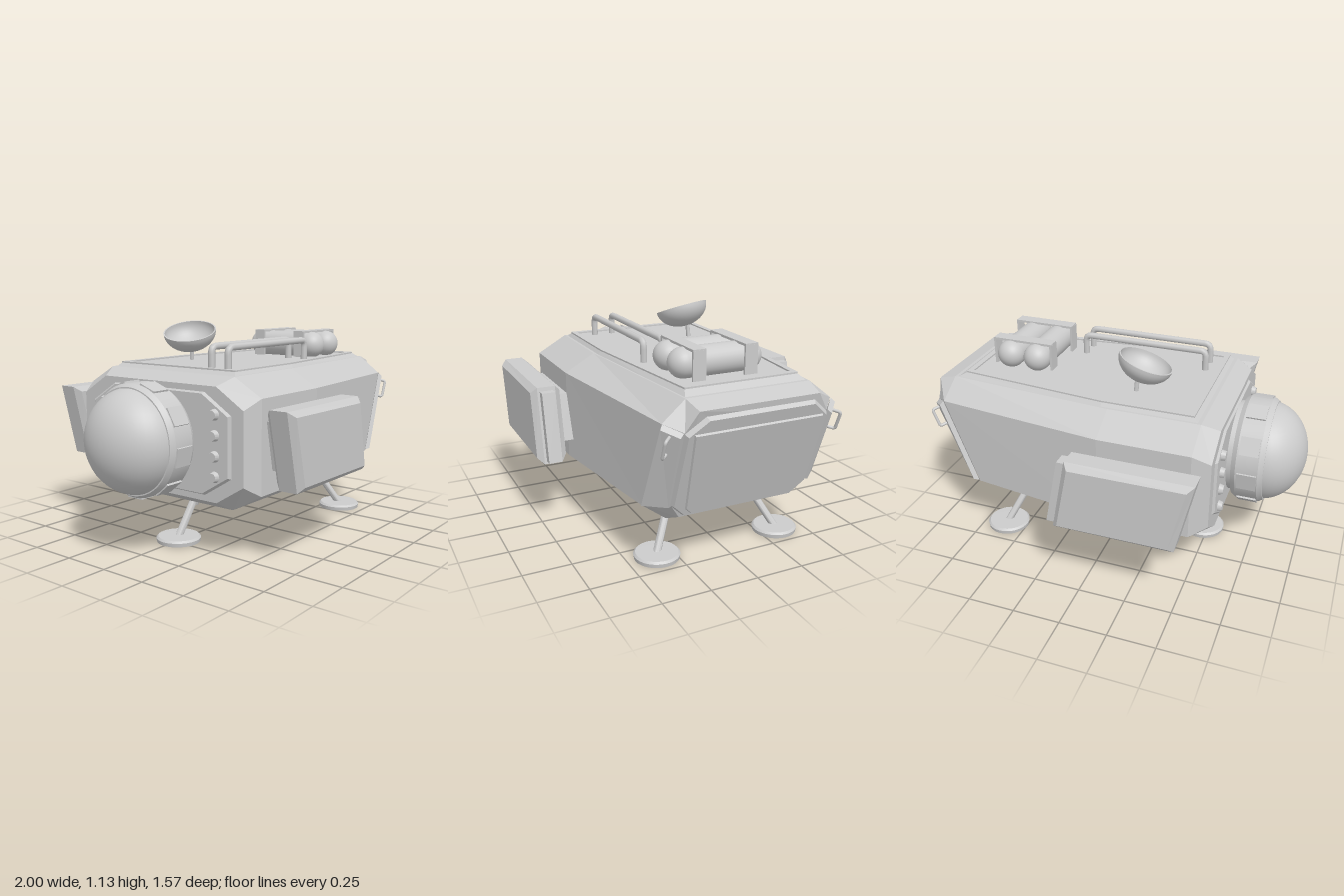
import * as THREE from 'three';
import { toCreasedNormals } from 'three/addons/utils/BufferGeometryUtils.js';

const V = (x, y, z) => new THREE.Vector3(x, y, z);
const smooth = new THREE.MeshStandardMaterial({ color: 0xcccccc, side: THREE.DoubleSide });
const flat = new THREE.MeshStandardMaterial({ color: 0xcccccc, flatShading: true, side: THREE.DoubleSide });

export function createModel() {
  const root = new THREE.Group();
  const add = (name, geo, mat = flat, pos = [0, 0, 0]) => {
    const m = new THREE.Mesh(geo, mat);
    m.name = name;
    m.position.set(...pos);
    root.add(m);
    return m;
  };
  const fromTriangles = (pts) => {
    const g = new THREE.BufferGeometry().setFromPoints(pts);
    g.computeVertexNormals();
    return g;
  };
  // joins rings of equal length and closes both ends
  const loft = (rings) => {
    const t = [], n = rings[0].length;
    for (let r = 0; r + 1 < rings.length; r++) {
      for (let i = 0; i < n; i++) {
        const j = (i + 1) % n, A = rings[r], B = rings[r + 1];
        t.push(A[i], A[j], B[j], A[i], B[j], B[i]);
      }
    }
    const last = rings[rings.length - 1];
    for (let i = 1; i + 1 < n; i++) {
      t.push(rings[0][0], rings[0][i + 1], rings[0][i], last[0], last[i], last[i + 1]);
    }
    return fromTriangles(t);
  };
  // raised plate on a polygon, facing away from the hull centre, top edge inset
  const plate = (name, pts, h, inset) => {
    const c = pts.reduce((a, p) => a.add(p), V(0, 0, 0)).divideScalar(pts.length);
    const n = V(0, 0, 0);
    pts.forEach((p, i) => n.add(p.clone().sub(c).cross(pts[(i + 1) % pts.length].clone().sub(c))));
    n.normalize();
    let base = pts;
    if (n.dot(c.clone().sub(V(0, 0.58, 0))) < 0) { n.negate(); base = [...pts].reverse(); }
    const top = base.map((p) => p.clone().lerp(c, inset).addScaledVector(n, h));
    return add(name, loft([base, top]));
  };
  const shapeOf = (pts) => new THREE.Shape(pts.map((p) => new THREE.Vector2(...p)));
  const rod = (name, a, b, rTop, rBottom, sides = 12) => {
    const d = b.clone().sub(a);
    const m = add(name, toCreasedNormals(new THREE.CylinderGeometry(rTop, rBottom, d.length(), sides), 0.7), smooth);
    m.position.copy(a).addScaledVector(d, 0.5);
    m.quaternion.setFromUnitVectors(V(0, 1, 0), d.normalize());
  };
  // rounded-corner hoop through points
  const hoop = (name, pts, r) => {
    const path = new THREE.CurvePath();
    let prev = pts[0];
    for (let i = 1; i < pts.length; i++) {
      if (i === pts.length - 1) { path.add(new THREE.LineCurve3(prev, pts[i])); break; }
      const k = r * 1.8;
      const a = pts[i].clone().add(pts[i - 1].clone().sub(pts[i]).setLength(k));
      const b = pts[i].clone().add(pts[i + 1].clone().sub(pts[i]).setLength(k));
      path.add(new THREE.LineCurve3(prev, a));
      path.add(new THREE.QuadraticBezierCurve3(a, pts[i], b));
      prev = b;
    }
    add(name, new THREE.TubeGeometry(path, 60, r, 8), smooth);
  };

  // Hull: half profiles [x, y, z] from roof edge to belly edge, mirrored in z
  const wide = (x) => [[x, 0.9, 0.41], [x, 0.81, 0.568], [x, 0.345, 0.568], [x, 0.25, 0.4]];
  const sections = [
    [[-0.61, 0.86, 0.37], [-0.61, 0.76, 0.53], [-0.61, 0.4, 0.53], [-0.61, 0.3, 0.37]],
    wide(-0.52),
    wide(-0.04),
    [[0.87, 0.895, 0.325], [0.88, 0.8, 0.445], [0.7, 0.345, 0.465], [0.7, 0.25, 0.34]],
    [[0.975, 0.865, 0.31], [0.955, 0.77, 0.37], [0.805, 0.36, 0.36], [0.78, 0.285, 0.31]],
  ];
  const rings = sections.map((s) => [
    ...s.map(([x, y, z]) => V(x, y, z)),
    ...[...s].reverse().map(([x, y, z]) => V(x, y, -z)),
  ]);
  add('hull', loft(rings));

  // Roof: raised deck with a thin rim
  const deck = (x0, x1, zw, zn, y) => [[x0, zw], [0, zw], [x1, zn], [x1, -zn], [0, -zw], [x0, -zw]]
    .map(([x, z]) => V(x, y, z));
  add('roofDeck', loft([deck(-0.52, 0.87, 0.41, 0.325, 0.885), deck(-0.48, 0.81, 0.383, 0.3, 0.917)].map((r) => r.reverse())));
  const rim = shapeOf(deck(-0.48, 0.81, 0.383, 0.3, 0).map((p) => [p.x, -p.z]));
  rim.holes.push(new THREE.Path(deck(-0.45, 0.78, 0.355, 0.275, 0).map((p) => new THREE.Vector2(p.x, -p.z))));
  add('roofRim', new THREE.ExtrudeGeometry(rim, { depth: 0.015, bevelEnabled: false }).rotateX(-Math.PI / 2), flat, [0, 0.91, 0]);

  // Belly plate
  plate('bellyPlate', [V(-0.03, 0.25, 0.3), V(0.32, 0.25, 0.26), V(0.32, 0.25, -0.26), V(-0.03, 0.25, -0.3)], 0.02, 0.08);

  // Front hatch: sloped frame and inner panel
  const slope = (y, off = 0) => 0.955 + (y - 0.77) * 0.366 + off;
  const mirrored = (half, off) => [...half, ...[...half].reverse().map(([z, y]) => [-z, y])]
    .map(([z, y]) => V(slope(y, off), y, z));
  plate('frontFrame', mirrored([[0.28, 0.84], [0.37, 0.765], [0.37, 0.37], [0.3, 0.3]], 0), 0.022, 0.03);
  plate('frontHatch', mirrored([[0.335, 0.765], [0.3, 0.345], [0.27, 0.315]], 0.022), 0.01, 0.02);

  // Rear bulkhead panel
  plate('rearPanel', [[0.3, 0.83], [0.46, 0.73], [0.46, 0.43], [0.3, 0.33], [-0.3, 0.33], [-0.46, 0.43], [-0.46, 0.73], [-0.3, 0.83]]
    .map(([z, y]) => V(-0.61, y, z)), 0.012, 0.03);

  for (const s of [1, -1]) {
    // Corner panels with grab handles
    plate('cornerPanel', [V(0.885, 0.8, 0.445 * s), V(0.705, 0.35, 0.465 * s), V(0.805, 0.36, 0.365 * s), V(0.955, 0.77, 0.375 * s)], 0.025, 0.06);
    const p = V(0.895, 0.71, 0.415 * s), d = V(0.36, 0.93, 0).multiplyScalar(0.05), n = V(0.62, -0.24, 0.74 * s);
    const at = (k, h) => p.clone().addScaledVector(d, k).addScaledVector(n, h);
    hoop('grabHandle', [at(-1, 0.01), at(-1, 0.06), at(1, 0.06), at(1, 0.01)], 0.008);

    // Side pods on their mounts
    const slab = (name, pts, depth, bevel, z) => add(name, new THREE.ExtrudeGeometry(shapeOf(pts), {
      depth: depth - 2 * bevel, bevelEnabled: bevel > 0, bevelSize: bevel, bevelThickness: bevel, bevelOffset: -bevel, bevelSegments: 1,
    }).translate(0, 0, bevel - depth / 2), flat, [0, 0, s * z]);
    slab('podMount', [[-0.43, 0.455], [0.02, 0.455], [-0.04, 0.7], [-0.48, 0.7]], 0.12, 0, 0.59);
    slab('sidePod', [[-0.5, 0.385], [0.125, 0.385], [0.05, 0.775], [-0.59, 0.775]], 0.155, 0.03, 0.705);
    slab('podEndPlate', [[0.08, 0.4], [0.165, 0.4], [0.095, 0.755], [0.01, 0.755]], 0.07, 0, 0.705);

    // Rear bolts
    for (let i = 0; i < 4; i++) {
      rod('rearBolt', V(-0.615, 0.43 + i * 0.1, 0.37 * s), V(-0.645, 0.43 + i * 0.1, 0.37 * s), 0.022, 0.03, 16);
    }
  }

  // Rear airlock: collar, drum, dome and nine window blocks
  const drum = [[0.24, 0.6], [0.24, 0.65], [0.265, 0.65], [0.28, 0.675], [0.28, 0.79], [0.265, 0.815], [0, 0.815]]
    .map((q) => new THREE.Vector2(...q));
  add('airlockDrum', toCreasedNormals(new THREE.LatheGeometry(drum, 48).rotateZ(Math.PI / 2), 0.4), smooth, [0, 0.585, 0]);
  add('airlockDome', new THREE.SphereGeometry(1, 40, 24).scale(0.22, 0.262, 0.262), smooth, [-0.78, 0.585, 0]);
  for (let i = 0; i < 9; i++) {
    const a = THREE.MathUtils.degToRad(30 + 40 * i);
    const m = add('drumWindow', new THREE.BoxGeometry(0.1, 0.095, 0.03), flat,
      [-0.735, 0.585 + 0.27 * Math.sin(a), 0.27 * Math.cos(a)]);
    m.rotation.x = -a;
  }

  // Landing legs: two in front, one behind
  const legs = [[V(0.51, 0.23, 0.235), V(0.61, 0.02, 0.345)], [V(0.51, 0.23, -0.235), V(0.61, 0.02, -0.345)], [V(-0.32, 0.23, 0), V(-0.47, 0.02, 0)]];
  for (const [top, foot] of legs) {
    rod('leg', foot, top, 0.02, 0.02);
    rod('legSocket', V(top.x, 0.19, top.z).lerp(foot, 0.15), V(top.x, 0.255, top.z), 0.055, 0.02);
    const pad = [[0, 0], [0.115, 0], [0.118, 0.02], [0.108, 0.03], [0, 0.032]].map((q) => new THREE.Vector2(...q));
    add('footPad', toCreasedNormals(new THREE.LatheGeometry(pad, 32), 0.5), smooth, [foot.x, 0, foot.z]);
  }

  // Roof rails
  for (const z of [0.165, 0.27]) {
    hoop('roofRail', [V(-0.39, 0.91, z), V(-0.39, 1.023, z), V(0.303, 1.023, z), V(0.303, 0.91, z)], 0.018);
  }

  // Gas tanks and their brackets
  for (const x of [0.47, 0.625]) {
    add('tank', new THREE.CapsuleGeometry(0.075, 0.34, 10, 28).rotateX(Math.PI / 2), smooth, [x, 0.985, 0.045]);
  }
  for (const z of [-0.095, 0.18]) {
    add('bracketTop', new THREE.BoxGeometry(0.34, 0.012, 0.068), flat, [0.555, 1.06, z]);
    for (const x of [0.39, 0.72]) add('bracketSide', new THREE.BoxGeometry(0.012, 0.15, 0.068), flat, [x, 0.985, z]);
  }

  // Dish antenna, tilted backwards, on a short post
  const bowl = [];
  for (let i = 0; i <= 12; i++) bowl.push(new THREE.Vector2(0.145 * Math.sin(i * Math.PI / 24), -0.11 * Math.cos(i * Math.PI / 24)));
  for (let i = 12; i >= 0; i--) bowl.push(new THREE.Vector2(0.138 * Math.sin(i * Math.PI / 24), -0.1 * Math.cos(i * Math.PI / 24)));
  const axis = V(-0.34, 1, 0.15).normalize();
  const dish = add('dish', toCreasedNormals(new THREE.LatheGeometry(bowl, 36), 0.6), smooth, [-0.165, 1.08, -0.175]);
  dish.quaternion.setFromUnitVectors(V(0, 1, 0), axis);
  rod('dishPost', V(-0.12, 0.91, -0.2), V(-0.125, 0.985, -0.195), 0.012, 0.012);
  rod('dishFeed', dish.position.clone().addScaledVector(axis, -0.105), dish.position.clone().addScaledVector(axis, -0.06), 0.012, 0.012);

  return root;
}
